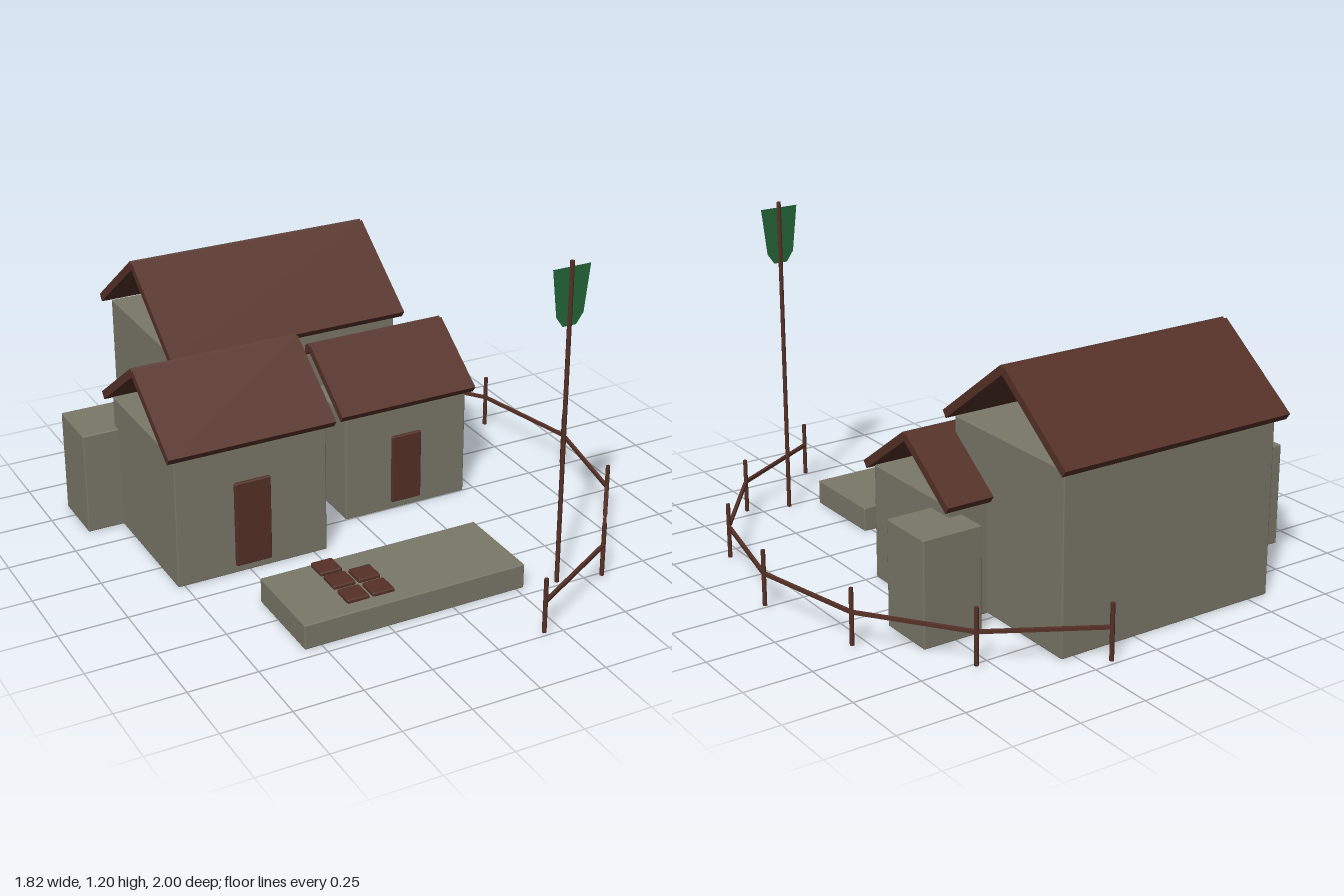
import * as THREE from 'three';
import { RoundedBoxGeometry } from 'three/addons/geometries/RoundedBoxGeometry.js';

const stone = new THREE.MeshStandardMaterial({ color: 0x7a7868 });
stone.name = 'stone';
const wood = new THREE.MeshStandardMaterial({ color: 0x553127 });
wood.name = 'brownWood';
const green = new THREE.MeshStandardMaterial({ color: 0x246639, side: THREE.DoubleSide });
green.name = 'greenCloth';

// Softly bevelled block given by its limits on each axis
function block(name, material, [x0, x1], [y0, y1], [z0, z1], bevel = 0.005) {
  const geometry = new RoundedBoxGeometry(x1 - x0, y1 - y0, z1 - z0, 1, bevel);
  const mesh = new THREE.Mesh(geometry, material);
  mesh.position.set((x0 + x1) / 2, (y0 + y1) / 2, (z0 + z1) / 2);
  mesh.name = name;
  return mesh;
}

// Square bar between two points
function bar(name, a, b, size) {
  const mesh = new THREE.Mesh(new THREE.BoxGeometry(size, size, a.distanceTo(b)), wood);
  mesh.position.copy(a).add(b).multiplyScalar(0.5);
  mesh.lookAt(b);
  mesh.name = name;
  return mesh;
}

// House: block walls, open gables, two tilted roof slabs and a door
function house(name, h) {
  const group = new THREE.Group();
  group.name = name;
  group.add(block('walls', stone, h.x, [0, h.height], h.z));
  const [r0, r1] = h.roofX;
  const drop = h.ridge - h.eave;
  for (const side of [1, -1]) {
    const slab = new THREE.Mesh(
      new THREE.BoxGeometry(r1 - r0, 0.03, Math.hypot(h.reach, drop)), wood);
    slab.position.set((r0 + r1) / 2, (h.ridge + h.eave) / 2, h.ridgeZ + side * h.reach / 2);
    slab.rotation.x = side * Math.atan2(drop, h.reach);
    slab.name = side > 0 ? 'frontRoof' : 'backRoof';
    group.add(slab);
  }
  group.add(block('door', wood, h.doorX, [0.03, h.doorTop], [h.z[1] - 0.01, h.z[1] + 0.012]));
  return group;
}

export function createModel() {
  const model = new THREE.Group();
  model.name = 'village';

  model.add(house('mainHouse', {
    x: [-0.58, 0.3], z: [-0.885, -0.27], height: 0.655, roofX: [-0.61, 0.325],
    ridgeZ: -0.58, ridge: 0.908, eave: 0.657, reach: 0.336, doorX: [-0.24, -0.04], doorTop: 0.46,
  }));
  model.add(house('leftHouse', {
    x: [-0.775, -0.2], z: [-0.395, 0.155], height: 0.5, roofX: [-0.803, -0.175],
    ridgeZ: -0.12, ridge: 0.713, eave: 0.502, reach: 0.296, doorX: [-0.557, -0.42], doorTop: 0.355,
  }));
  model.add(house('rightHouse', {
    x: [-0.042, 0.455], z: [-0.465, 0], height: 0.425, roofX: [-0.07, 0.48],
    ridgeZ: -0.235, ridge: 0.608, eave: 0.425, reach: 0.256, doorX: [0.145, 0.265], doorTop: 0.3,
  }));

  // Stone blocks flanking the houses
  model.add(block('rightOuthouse', stone, [-0.91, -0.685], [0, 0.387], [-0.577, -0.355]));
  model.add(block('leftOuthouse', stone, [0.4, 0.627], [0, 0.387], [-0.577, -0.355]));

  // Low platform with five small tiles
  model.add(block('platform', stone, [-0.563, 0.28], [0, 0.093], [0.368, 0.708]));
  for (const [x, z] of [[-0.335, 0.415], [-0.335, 0.513], [-0.335, 0.613], [-0.24, 0.513], [-0.24, 0.613]]) {
    model.add(block('tile', wood, [x - 0.041, x + 0.041], [0.08, 0.106], [z - 0.041, z + 0.041]));
  }

  // Curved fence: posts joined by a single rail
  const half = [[0.18, 0.992], [0.557, 0.775], [0.81, 0.427]];
  const posts = [...half, [0.9, 0], ...half.map(([x, z]) => [x, -z]).reverse()];
  const fence = new THREE.Group();
  fence.name = 'fence';
  posts.forEach(([x, z], i) => {
    const post = new THREE.Mesh(new THREE.CylinderGeometry(0.008, 0.008, 0.205, 8), wood);
    post.position.set(x, 0.112, z);
    post.name = 'fencePost';
    fence.add(post);
    if (i > 0) {
      const [px, pz] = posts[i - 1];
      fence.add(bar('fenceRail', new THREE.Vector3(px, 0.128, pz), new THREE.Vector3(x, 0.128, z), 0.012));
    }
  });
  model.add(fence);

  // Flag pole with a tapered banner
  const pole = new THREE.Mesh(new THREE.CylinderGeometry(0.008, 0.008, 1.195, 8), wood);
  pole.position.set(0.398, 0.6025, 0.733);
  pole.name = 'flagPole';
  model.add(pole);
  const outline = [[-0.073, 1.18], [-0.053, 1.01], [-0.026, 0.972], [0.026, 0.972], [0.053, 1.01], [0.073, 1.18]];
  const banner = new THREE.Mesh(
    new THREE.ShapeGeometry(new THREE.Shape(outline.map(([x, y]) => new THREE.Vector2(x, y)))), green);
  banner.position.set(0.398, 0, 0.733);
  banner.name = 'banner';
  model.add(banner);

  return model;
}
